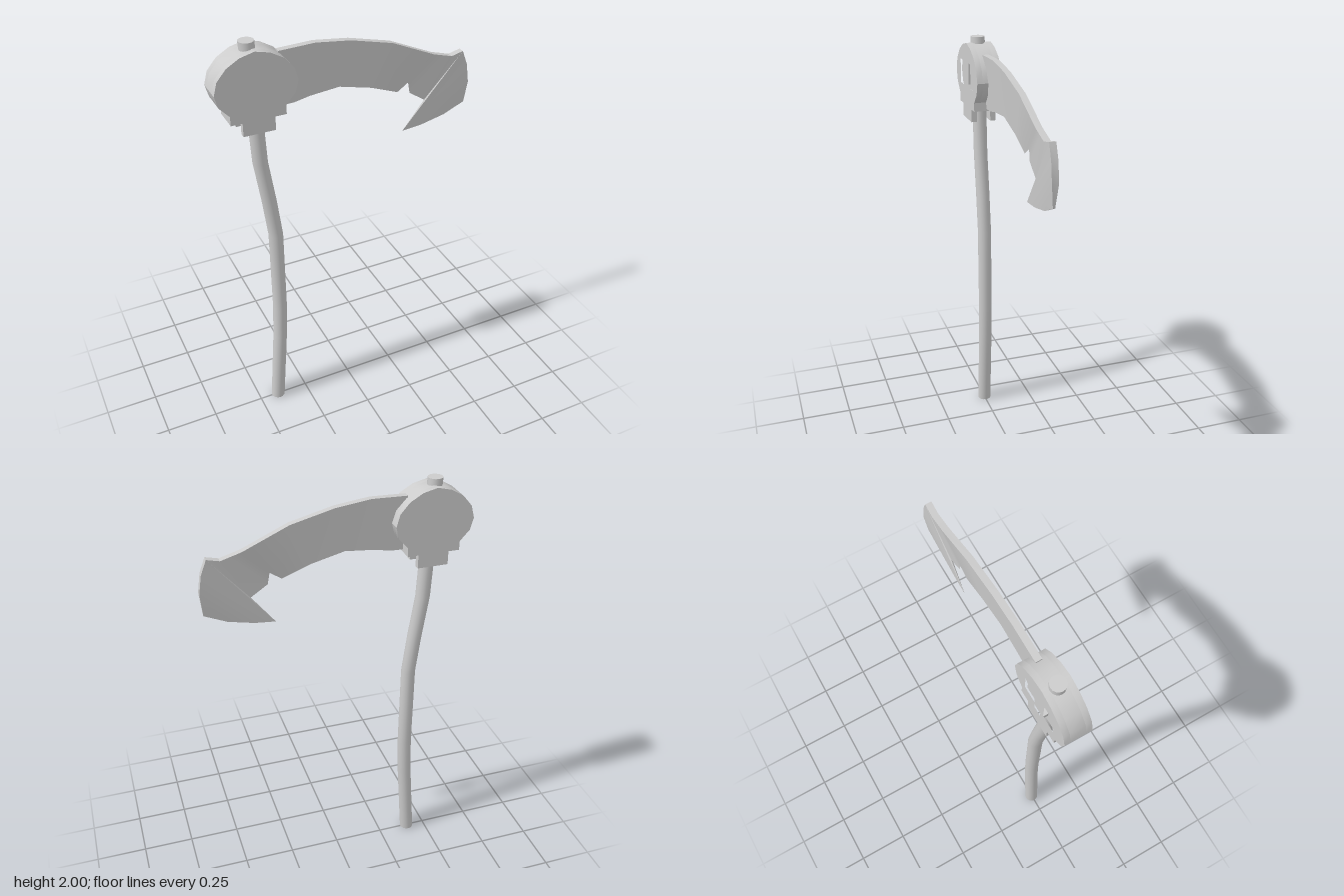
import * as THREE from 'three';
import { toCreasedNormals } from 'three/addons/utils/BufferGeometryUtils.js';

const material = new THREE.MeshStandardMaterial({ color: 0xcccccc });

function addMesh(parent, geometry, name) {
  const mesh = new THREE.Mesh(toCreasedNormals(geometry, 0.5), material);
  mesh.name = name;
  parent.add(mesh);
  return mesh;
}

function rectHole(cx, cy, w, h) {
  return new THREE.Path([[-1, -1], [-1, 1], [1, 1], [1, -1]].map(
    ([i, j]) => new THREE.Vector2(cx + i * w / 2, cy + j * h / 2)));
}

const SKULL_X = -0.431;

// Symmetric skull outline from half-profile, top to bottom
function skullShape(withJaw) {
  const half = [[0.065, 1.957], [0.123, 1.923], [0.166, 1.873], [0.182, 1.815], [0.167, 1.76], [0.123, 1.712], [0.123, 1.67]];
  if (withJaw) half.push([0.072, 1.67], [0.072, 1.607]);
  const right = half.map(([x, y]) => new THREE.Vector2(x, y));
  const left = half.map(([x, y]) => new THREE.Vector2(-x, y)).reverse();
  return new THREE.Shape([new THREE.Vector2(0, 1.973), ...right, ...left]);
}

function extrude(shape, z0, z1) {
  return new THREE.ExtrudeGeometry(shape, { depth: z1 - z0, bevelEnabled: false }).translate(SKULL_X, 0, z0);
}

function makeSkull() {
  const skull = new THREE.Group();
  skull.name = 'skullHead';
  addMesh(skull, extrude(skullShape(false), -0.034, 0.034), 'skullCore');
  // Face plates with eye and nose openings; the jaws leave a gap for the handle
  const face = skullShape(true);
  face.holes.push(rectHole(-0.068, 1.824, 0.072, 0.116), rectHole(0.068, 1.824, 0.072, 0.116), rectHole(0, 1.732, 0.058, 0.026));
  addMesh(skull, extrude(face, 0.034, 0.061), 'frontFace');
  addMesh(skull, extrude(face, -0.061, -0.034), 'backFace');
  return skull;
}

// Round handle whose level rings follow a bent centre line
function makeHandle() {
  const centres = [[-0.444, 2], [-0.426, 1.61], [-0.418, 1.43], [-0.388, 1.22], [-0.366, 1.03],
    [-0.366, 0.6], [-0.374, 0.41], [-0.405, 0]];
  const n = centres.length - 1;
  const geometry = new THREE.CylinderGeometry(0.034, 0.034, 1, 16, n);
  const p = geometry.attributes.position;
  for (let i = 0; i < p.count; i++) {
    const [x, y] = centres[Math.round((0.5 - p.getY(i)) * n)];
    p.setXYZ(i, p.getX(i) + x, y, p.getZ(i));
  }
  return geometry;
}

// Wedge blade: each rib runs from the thick spine to the sharp edge
function makeBlade() {
  const t = 0.015;
  // spine x, spine y, edge x, edge y, half thickness at spine
  const ribs = [
    [-0.315, 1.935, -0.315, 1.68, t], [-0.25, 1.937, -0.25, 1.682, t],
    [-0.15, 1.94, -0.175, 1.697, t], [0.01, 1.92, -0.037, 1.71, t],
    [0.21, 1.87, 0.116, 1.672, t], [0.42, 1.777, 0.249, 1.622, t],
    [0.465, 1.764, 0.302, 1.658, t], [0.513, 1.75, 0.312, 1.605, t],
    [0.571, 1.764, 0.39, 1.553, t], [0.598, 1.695, 0.283, 1.416, t],
    [0.612, 1.605, 0.38, 1.425, t], [0.602, 1.5, 0.5, 1.452, 0.005],
  ];
  const vertices = [];
  const index = [];
  ribs.forEach(([sx, sy, ex, ey, h], i) => {
    vertices.push(sx, sy, h, sx, sy, -h, ex, ey, 0);
    if (i === ribs.length - 1) return;
    const a = i * 3, b = a + 3;
    index.push(a, a + 2, b + 2, a, b + 2, b); // front side
    index.push(a + 1, b + 2, a + 2, a + 1, b + 1, b + 2); // back side
    index.push(a, b, b + 1, a, b + 1, a + 1); // spine
  });
  const e = (ribs.length - 1) * 3;
  index.push(0, 1, 2, e, e + 2, e + 1); // end caps
  const geometry = new THREE.BufferGeometry();
  geometry.setAttribute('position', new THREE.Float32BufferAttribute(vertices, 3));
  geometry.setIndex(index);
  return geometry;
}

export function createModel() {
  const model = new THREE.Group();
  model.name = 'scythe';
  addMesh(model, makeHandle(), 'handle');
  addMesh(model, makeBlade(), 'blade');
  model.add(makeSkull());
  return model;
}
